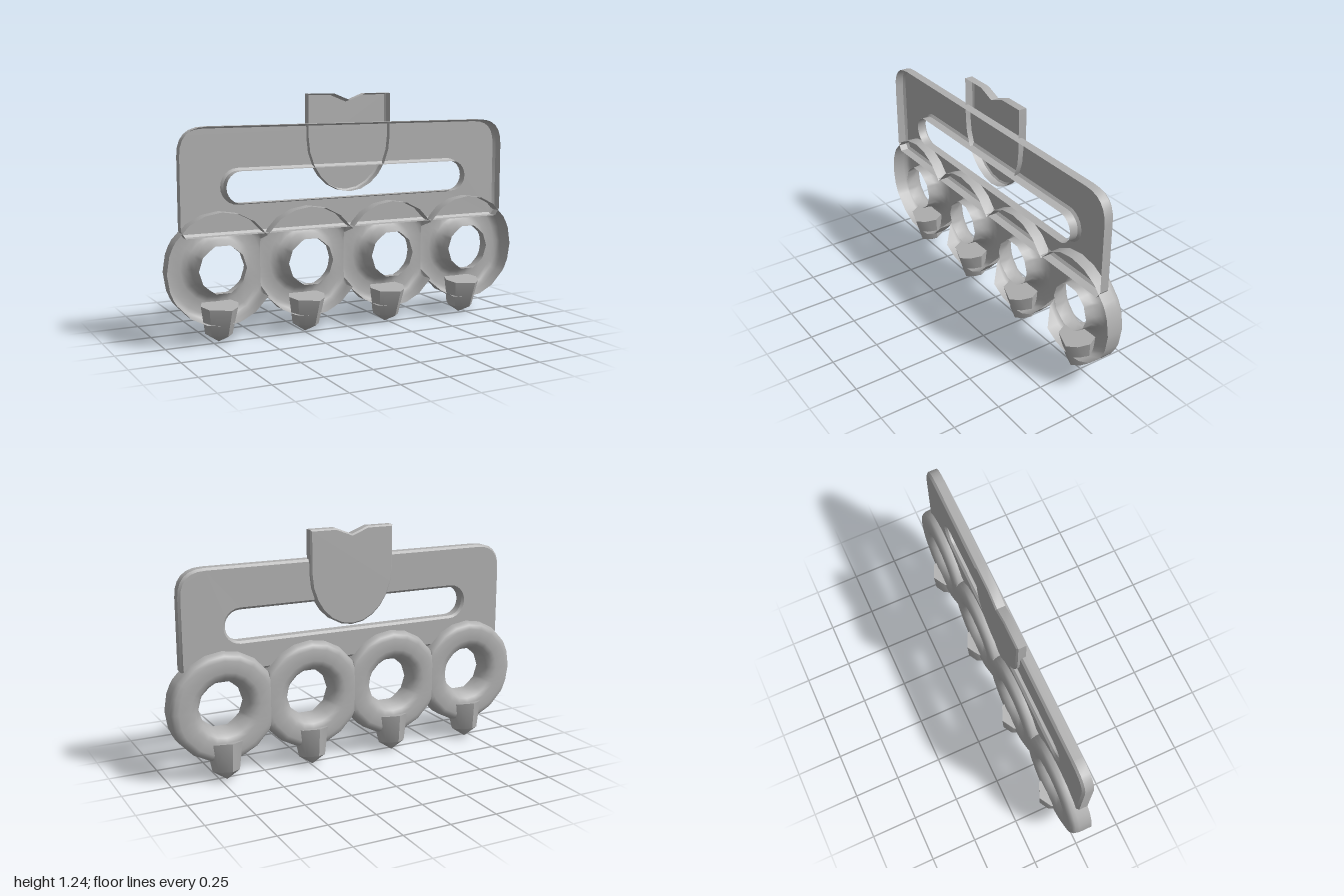
import * as THREE from 'three';
import { toCreasedNormals } from 'three/addons/utils/BufferGeometryUtils.js';

const steel = new THREE.MeshStandardMaterial({ color: 0xb0b0b0, side: THREE.DoubleSide });
steel.name = 'grey steel';

const SPACING = 0.4767; // distance between finger rings

function add(parent, name, geometry, x = 0, y = 0, z = 0) {
  const mesh = new THREE.Mesh(geometry, steel);
  mesh.name = name;
  mesh.position.set(x, y, z);
  parent.add(mesh);
  return mesh;
}

function buildGeometry(verts, index) {
  const geo = new THREE.BufferGeometry();
  geo.setAttribute('position', new THREE.Float32BufferAttribute(verts, 3));
  geo.setIndex(index);
  return toCreasedNormals(geo, 0.75);
}

// Shallow tray: bevelled back and side walls, open at the front
function tray(shape, zBack, zFront, bevel) {
  const depth = zFront - zBack - bevel;
  const solid = new THREE.ExtrudeGeometry(shape, {
    depth, bevelEnabled: true, bevelSegments: 1, bevelSize: bevel,
    bevelThickness: bevel, bevelOffset: -bevel, curveSegments: 6,
  });
  const p = solid.attributes.position.array;
  const kept = [];
  for (let i = 0; i < p.length; i += 9) {
    if (Math.min(p[i + 2], p[i + 5], p[i + 8]) < depth - 1e-4) kept.push(...p.slice(i, i + 9));
  }
  const geo = new THREE.BufferGeometry();
  geo.setAttribute('position', new THREE.Float32BufferAttribute(kept, 3));
  geo.translate(0, 0, zBack + bevel);
  return toCreasedNormals(geo, 0.5);
}

// Finger ring shell, open at the front, with a ten-sided funnel hole;
// cut off halfway to each neighbour so that the rings join
const RING_PROFILE = [
  [0.125, 0.058], [0.128, 0.01], [0.138, -0.02], [0.157, -0.042], [0.185, -0.05],
  [0.245, -0.05], [0.268, -0.044], [0.28, -0.03], [0.285, -0.01], [0.285, 0.058],
];

function profileDepth(r) {
  const k = Math.max(1, RING_PROFILE.findIndex((p) => p[0] >= r));
  const [r0, z0] = RING_PROFILE[k - 1];
  const [r1, z1] = RING_PROFILE[k];
  return THREE.MathUtils.mapLinear(r, r0, r1, z0, z1);
}

function ringGeometry(joinLeft, joinRight) {
  const half = SPACING / 2;
  const cusp = THREE.MathUtils.radToDeg(Math.acos(half / 0.285));
  const quarter = [0, 18, 27, cusp, 54, 72];
  const angles = [
    ...quarter, 90, ...quarter.slice(1).reverse().map((a) => 180 - a),
    ...quarter.map((a) => 180 + a), 270, ...quarter.slice(1).reverse().map((a) => 360 - a),
  ];
  const n = RING_PROFILE.length;
  const verts = [];
  const index = [];
  angles.forEach((deg, i) => {
    const a = THREE.MathUtils.degToRad(deg);
    const decagon = Math.cos(Math.PI / 10) / Math.cos(THREE.MathUtils.degToRad((deg % 36) - 18));
    const joined = Math.cos(a) > 0 ? joinRight : joinLeft;
    const limit = joined ? half / Math.abs(Math.cos(a)) : Infinity;
    RING_PROFILE.forEach(([r0, z0], j) => {
      let r = j < 2 ? r0 * decagon : r0;
      let z = z0;
      if (r > limit) {
        r = limit;
        z = profileDepth(r);
      }
      verts.push(r * Math.cos(a), r * Math.sin(a), z);
      if (j < n - 1) {
        const p = i * n + j;
        const q = ((i + 1) % angles.length) * n + j;
        index.push(p, q, p + 1, q, q + 1, p + 1);
      }
    });
  });
  return buildGeometry(verts, index);
}

// Stud: slanted top, tapering sides and a short pointed tip
function studGeometry() {
  const section = [
    [0.1, 0], [0.075, 0.057], [0.03, 0.097], [-0.075, 0.06],
    [-0.1, 0], [-0.075, -0.06], [-0.01, -0.1], [0.07, -0.065],
  ];
  const n = section.length;
  const verts = [];
  for (const [x, z] of section) verts.push(x, 0.2 - 0.15 * z, z);
  for (const [x, z] of section) verts.push(x * 0.74, 0.055 - 0.1 * z, z * 0.74 - 0.018);
  verts.push(0, 0.2, 0, 0, 0.005, -0.025);
  const index = [];
  for (let i = 0; i < n; i++) {
    const j = (i + 1) % n;
    index.push(i, j, n + i, j, n + j, n + i); // sides
    index.push(2 * n, j, i);                  // top
    index.push(2 * n + 1, n + i, n + j);      // tip
  }
  return buildGeometry(verts, index);
}

// Palm plate outline with a long rounded slot
function plateShape() {
  const w = 0.925, top = 1.09, r = 0.14, s = new THREE.Shape();
  s.moveTo(-0.9, 0.552);
  s.lineTo(0.9, 0.552);
  s.lineTo(w, 0.59);
  s.lineTo(w, top - r);
  s.quadraticCurveTo(w, top, w - r, top);
  s.lineTo(-w + r, top);
  s.quadraticCurveTo(-w, top, -w, top - r);
  s.lineTo(-w, 0.59);
  s.closePath();
  const slot = new THREE.Path(), h = 0.08, cx = 0.61, cy = 0.788;
  slot.absarc(cx, cy, h, -Math.PI / 2, Math.PI / 2, false);
  slot.absarc(-cx, cy, h, Math.PI / 2, Math.PI * 1.5, false);
  s.holes.push(slot);
  return s;
}

// Shield outline: notched top, rounded bottom
function shieldShape() {
  const s = new THREE.Shape();
  s.moveTo(-0.235, 1.24);
  s.lineTo(-0.235, 1.02);
  s.bezierCurveTo(-0.235, 0.86, -0.13, 0.733, 0, 0.733);
  s.bezierCurveTo(0.13, 0.733, 0.235, 0.86, 0.235, 1.02);
  s.lineTo(0.235, 1.24);
  s.lineTo(0.09, 1.24);
  s.lineTo(0, 1.205);
  s.lineTo(-0.09, 1.24);
  s.closePath();
  return s;
}

export function createModel() {
  const model = new THREE.Group();
  model.name = 'handGuard';

  // Row of four joined rings, each with a stud below
  const stud = studGeometry();
  for (let i = 0; i < 4; i++) {
    const x = (i - 1.5) * SPACING;
    add(model, 'fingerRing', ringGeometry(i > 0, i < 3), x, 0.386, 0);
    add(model, 'stud', stud, x, 0, 0);
  }

  add(model, 'palmPlate', tray(plateShape(), -0.003, 0.055, 0.012));
  add(model, 'shield', tray(shieldShape(), -0.024, 0.026, 0.008));
  return model;
}
